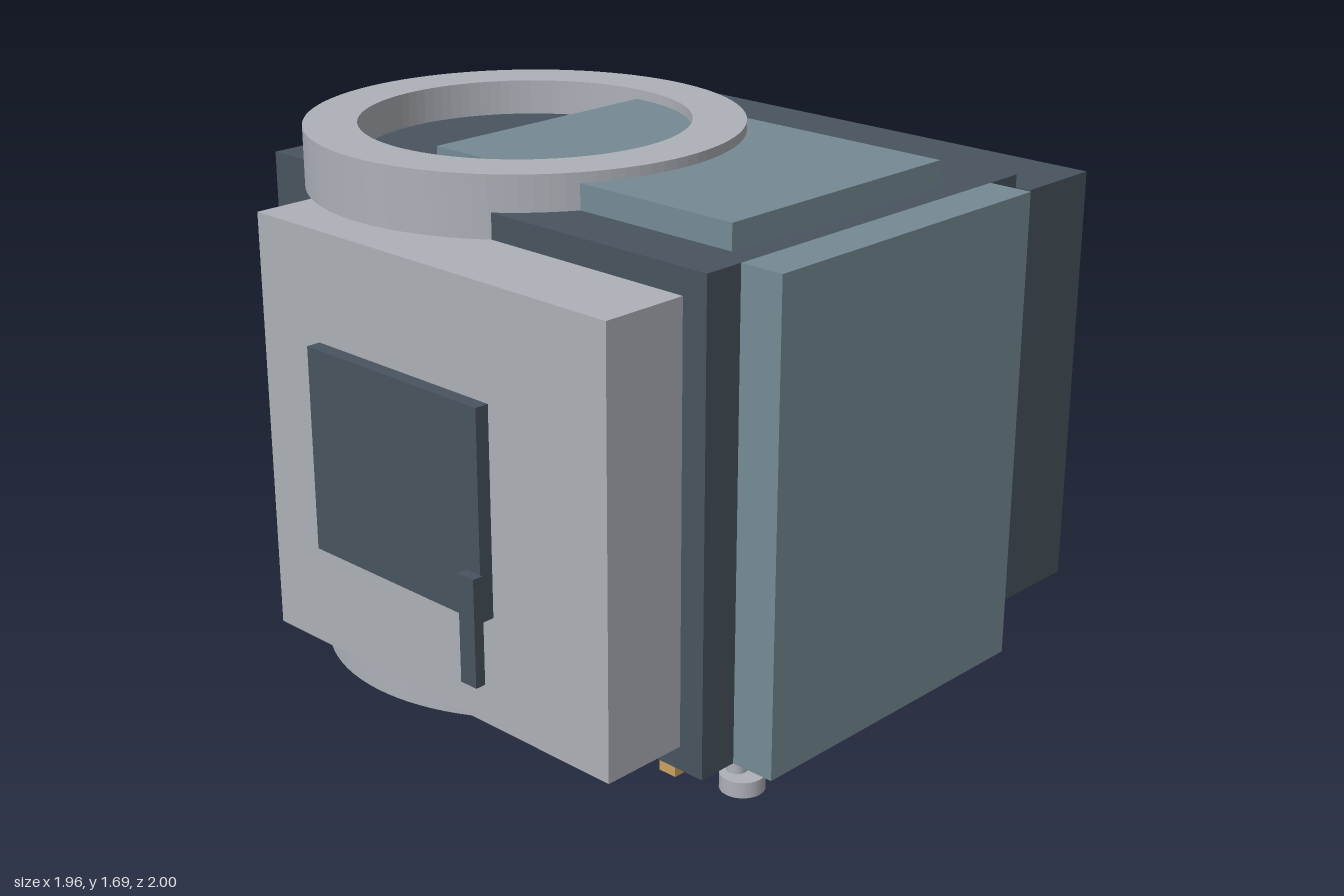
import * as THREE from 'three';

const material = (name, color, extra = {}) =>
  Object.assign(new THREE.MeshStandardMaterial({ color, ...extra }), { name });

export function createModel() {
  const dark = material('dark slate', 0x48545f);
  const steel = material('blue grey', 0x758a95);
  const light = material('light grey', 0xadb1b8);
  const cyan = material('cyan', 0x3cc3d2);
  const teal = material('deep teal', 0x256c77);
  const tan = material('tan', 0xc9a262);

  const model = new THREE.Group();
  model.name = 'chamberUnit';

  const add = (name, geometry, mat) => {
    const mesh = new THREE.Mesh(geometry, mat);
    mesh.name = name;
    model.add(mesh);
    return mesh;
  };

  // Box given by its extents on each axis
  const box = (name, mat, [x0, x1], [y0, y1], [z0, z1]) =>
    add(name, new THREE.BoxGeometry(x1 - x0, y1 - y0, z1 - z0), mat)
      .position.set((x0 + x1) / 2, (y0 + y1) / 2, (z0 + z1) / 2);

  // Upright faceted tube around the chamber axis
  const axisX = -0.335, axisZ = 0.15;
  const ring = (name, mat, outer, inner, y0, y1) => {
    const shape = new THREE.Shape().absarc(0, 0, outer, 0, Math.PI * 2);
    shape.holes.push(new THREE.Path().absarc(0, 0, inner, 0, Math.PI * 2, true));
    const geometry = new THREE.ExtrudeGeometry(shape, { depth: y1 - y0, bevelEnabled: false, curveSegments: 48 });
    geometry.rotateX(-Math.PI / 2);
    add(name, geometry, mat).position.set(axisX, y0, axisZ);
  };

  // Main housing and rear cabinet
  box('body', dark, [-0.87, 0.845], [0.17, 1.58], [-0.64, 0.655]);
  box('rearCabinet', dark, [-0.87, 0.845], [0.225, 1.52], [-1, -0.715]);
  box('rearConnector', steel, [-0.82, 0.655], [0.28, 1.47], [-0.715, -0.64]);

  // Side, top and bottom panels
  box('sidePanel', steel, [0.845, 0.98], [0.17, 1.58], [-0.515, 0.53]);
  box('topPlate', steel, [-0.355, 0.765], [1.58, 1.655], [-0.385, 0.475]);
  box('bottomPlate', steel, [-0.355, 0.765], [0.095, 0.17], [-0.385, 0.475]);
  box('bottomRail', steel, [0.765, 0.91], [0.12, 0.165], [-0.2, 0.3]);

  // Front door with window and handle
  box('frontDoor', light, [-0.605, 0.765], [0.24, 1.505], [0.655, 0.925]);
  box('doorWindow', dark, [-0.355, 0.335], [0.57, 1.18], [0.925, 0.968]);
  box('doorHandle', dark, [0.283, 0.343], [0.39, 0.71], [0.968, 1]);

  // Round chamber showing through the side, with its end rings
  const chamber = new THREE.CylinderGeometry(0.56, 0.56, 1.27, 48).toNonIndexed();
  chamber.computeVertexNormals();
  add('chamber', chamber, teal).position.set(axisX, 0.875, axisZ);
  ring('topRing', light, 0.645, 0.487, 1.505, 1.685);
  ring('bottomRing', light, 0.645, 0.487, 0.06, 0.24);
  ring('sealRing', cyan, 0.522, 0.437, 0, 0.062);

  // Small fittings underneath
  box('sealLever', cyan, [-0.26, 0.225], [0.05, 0.08], [0.45, 0.515]);
  box('latch', tan, [0.59, 0.65], [0.057, 0.095], [0.34, 0.55]);
  add('foot', new THREE.CylinderGeometry(0.064, 0.064, 0.047, 24), light).position.set(0.835, 0.097, 0.48);
  add('footStem', new THREE.CylinderGeometry(0.03, 0.03, 0.06, 16), light).position.set(0.815, 0.145, 0.48);

  return model;
}
